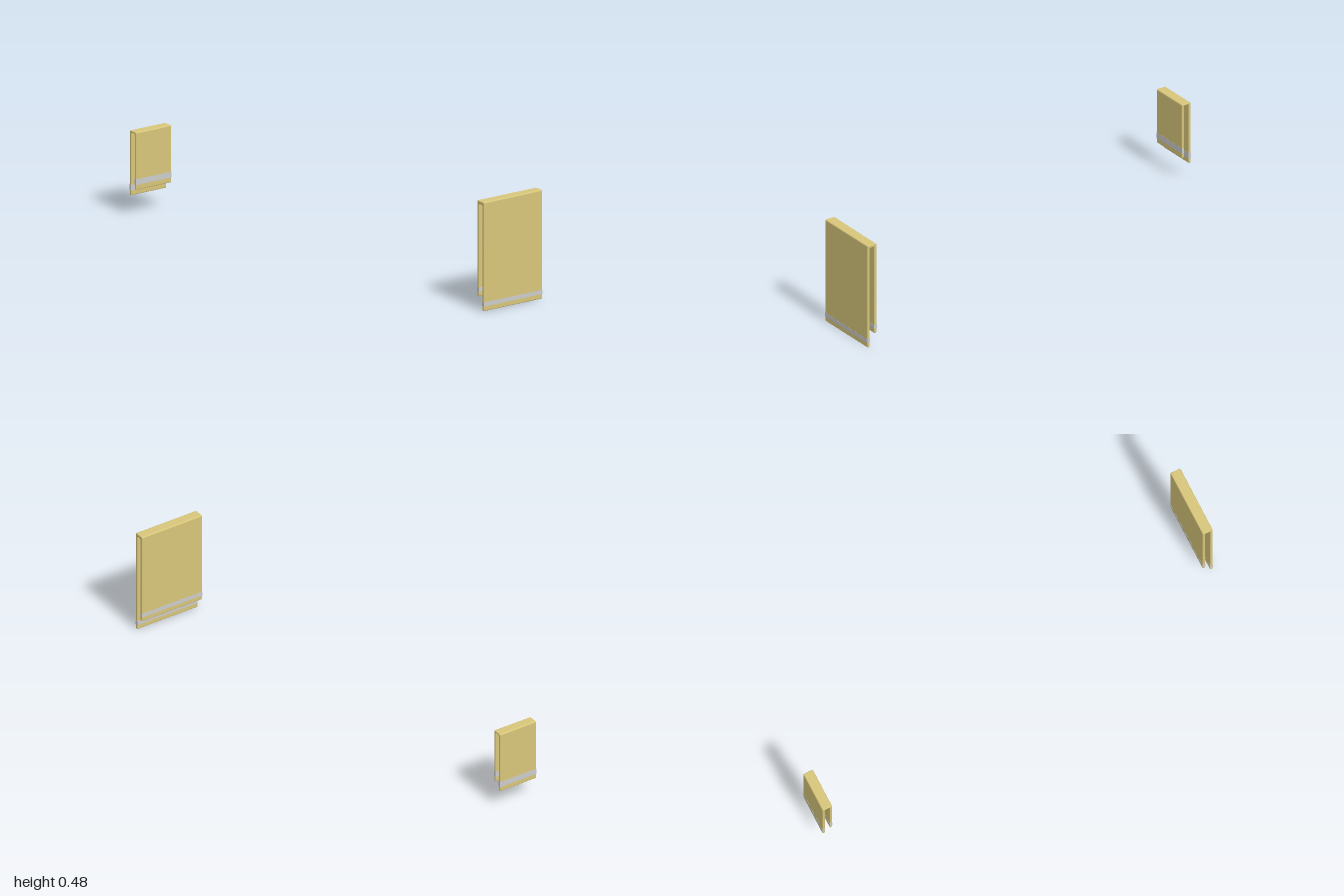
import * as THREE from 'three';
import { mergeVertices } from 'three/addons/utils/BufferGeometryUtils.js';

const clothMaterial = new THREE.MeshStandardMaterial({ color: 0xd8c67a });
const bandMaterial = new THREE.MeshStandardMaterial({ color: 0xcccccc });

// Closed outline in (z, y) whose listed corners are rounded by their radius.
function roundedShape(corners) {
  const shape = new THREE.Shape();
  corners.forEach(([z, y, r], i) => {
    const here = new THREE.Vector2(z, y);
    const toward = ([a, b]) => new THREE.Vector2(a, b).sub(here).setLength(r).add(here);
    const start = toward(corners[(i + corners.length - 1) % corners.length]);
    const end = toward(corners[(i + 1) % corners.length]);
    if (i === 0) shape.moveTo(start.x, start.y);
    else shape.lineTo(start.x, start.y);
    shape.quadraticCurveTo(z, y, end.x, end.y);
  });
  shape.closePath();
  return shape;
}

// A towel folded over a rail: an upside-down U with soft edges and a band near each hem.
function makeTowel({ name, x0, x1, back, front, top, frontHem, backHem, t, fold, frontBand, backBand }) {
  const towel = new THREE.Group();
  towel.name = name;
  const width = x1 - x0;
  const bevel = 0.003;
  const r = t * 0.4;
  const shape = roundedShape([
    [front, frontHem, r], [front, top, 0.006], [back, top, 0.006], [back, backHem, r],
    [back + t, backHem, r], [back + t, top - fold, 0.0035],
    [front - t, top - fold, 0.0035], [front - t, frontHem, r],
  ]);
  let geometry = new THREE.ExtrudeGeometry(shape, {
    depth: width - 2 * bevel, bevelEnabled: true, bevelThickness: bevel,
    bevelSize: bevel, bevelOffset: -bevel, bevelSegments: 3, curveSegments: 5,
  });
  geometry.translate(0, 0, bevel - width / 2);
  geometry.rotateY(-Math.PI / 2);
  geometry.deleteAttribute('normal');
  geometry.deleteAttribute('uv');
  geometry = mergeVertices(geometry, 1e-5);
  geometry.computeVertexNormals();
  const cloth = new THREE.Mesh(geometry, clothMaterial);
  cloth.name = 'foldedCloth';
  cloth.position.x = (x0 + x1) / 2;
  towel.add(cloth);

  // Woven bands wrapped around each flap
  const bands = [['frontBand', front - t / 2, frontBand], ['backBand', back + t / 2, backBand]];
  for (const [bandName, z, [low, high]] of bands) {
    const band = new THREE.Mesh(new THREE.BoxGeometry(width + 0.0005, high - low, t + 0.001), bandMaterial);
    band.name = bandName;
    band.position.set((x0 + x1) / 2, (low + high) / 2, z);
    towel.add(band);
  }
  return towel;
}

export function createModel() {
  const model = new THREE.Group();
  model.name = 'hangingTowels';
  model.add(
    makeTowel({
      name: 'bathTowel', x0: 0.027, x1: 0.332, back: 0.953, front: 1, top: 0.476, t: 0.012, fold: 0.014,
      frontHem: 0, backHem: 0.057, frontBand: [0.021, 0.039], backBand: [0.078, 0.096],
    }),
    makeTowel({
      name: 'handTowel', x0: -0.333, x1: -0.15, back: -1, front: -0.955, top: 0.366, t: 0.011, fold: 0.008,
      frontHem: 0.115, backHem: 0.083, frontBand: [0.137, 0.162], backBand: [0.105, 0.13],
    }),
  );
  return model;
}
